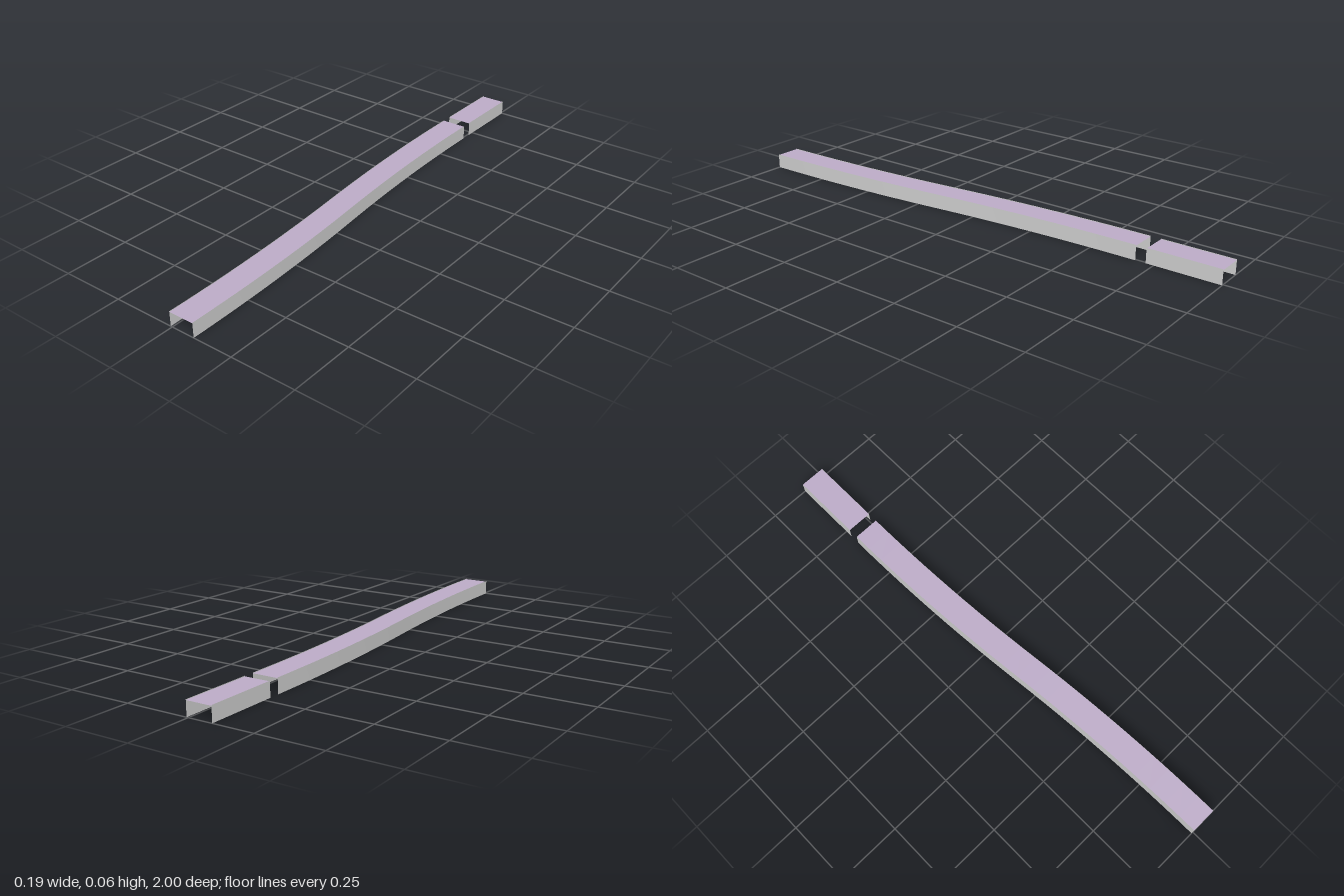
import * as THREE from 'three';

const HALF = 0.05, TOP = 0.057, DECK = 0.0545, SHIFT = 0.0875;
const CURVE_START = -0.68, CURVE_END = 1;

// Centre line: an S-bend made of two tangent arcs, straight behind its start
function centreX(z) {
  const t = THREE.MathUtils.clamp((z - CURVE_START) / (CURVE_END - CURVE_START), 0, 1);
  const s = t < 0.5 ? 2 * t * t : 1 - 2 * (1 - t) * (1 - t);
  return SHIFT * (s - 0.5);
}

// Sweeps the edge a-b ([offset, height] pairs) along the centre line
function strip(name, a, b, z0, z1, segments, material) {
  const positions = [], index = [];
  for (let i = 0; i <= segments; i++) {
    const z = THREE.MathUtils.lerp(z0, z1, i / segments);
    for (const [offset, y] of [a, b]) positions.push(centreX(z) + offset, y, z);
    if (i < segments) {
      const k = i * 2;
      index.push(k, k + 2, k + 1, k + 1, k + 2, k + 3);
    }
  }
  const geometry = new THREE.BufferGeometry();
  geometry.setAttribute('position', new THREE.Float32BufferAttribute(positions, 3));
  geometry.setIndex(index);
  geometry.computeVertexNormals();
  const mesh = new THREE.Mesh(geometry, material);
  mesh.name = name;
  return mesh;
}

export function createModel() {
  const wallGrey = new THREE.MeshStandardMaterial({ color: 0xcccccc, side: THREE.DoubleSide });
  wallGrey.name = 'wallGrey';
  const deckMauve = new THREE.MeshStandardMaterial({ color: 0xbbaac6, side: THREE.DoubleSide });
  deckMauve.name = 'deckMauve';

  // A channel section: slightly sunken deck between two thin side walls
  function section(name, z0, z1, segments) {
    const group = new THREE.Group();
    group.name = name;
    group.add(
      strip('deck', [-HALF, DECK], [HALF, DECK], z0, z1, segments, deckMauve),
      strip('leftWall', [HALF, TOP], [HALF, 0], z0, z1, segments, wallGrey),
      strip('rightWall', [-HALF, 0], [-HALF, TOP], z0, z1, segments, wallGrey)
    );
    return group;
  }

  const model = new THREE.Group();
  model.name = 'walkway';
  model.add(section('curvedSection', CURVE_START, CURVE_END, 24));
  model.add(section('straightSection', -1, -0.72, 1));
  return model;
}
